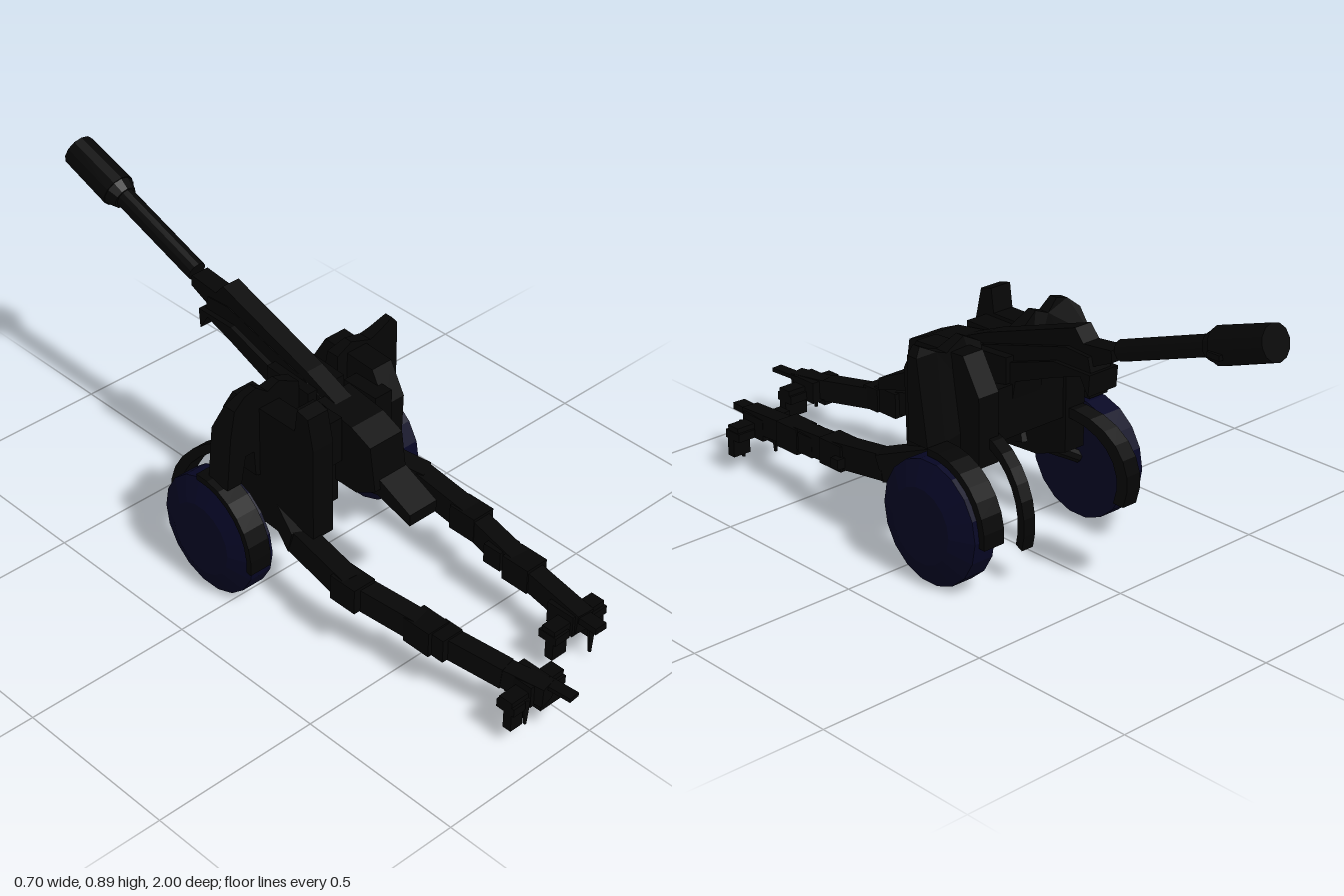
import * as THREE from 'three';

const V = (a) => new THREE.Vector3(...a);

export function createModel() {
  const model = new THREE.Group();
  const black = new THREE.MeshStandardMaterial({ color: 0x050505, flatShading: true });
  black.name = 'gunmetal black';
  const navy = new THREE.MeshStandardMaterial({ color: 0x060624, flatShading: true });
  navy.name = 'navy wheel';

  const add = (name, geo, mat = black) => {
    const mesh = new THREE.Mesh(geo, mat);
    mesh.name = name;
    model.add(mesh);
    return mesh;
  };
  // box given by its limits on each axis
  const box = (name, x0, x1, y0, y1, z0, z1) =>
    add(name, new THREE.BoxGeometry(x1 - x0, y1 - y0, z1 - z0)
      .translate((x0 + x1) / 2, (y0 + y1) / 2, (z0 + z1) / 2));
  const shapeOf = (pts) => new THREE.Shape(pts.map(([a, b]) => new THREE.Vector2(a, b)));
  // side profile in (z, y), extruded between two x values
  const sidePrism = (name, pts, x0, x1) =>
    add(name, new THREE.ExtrudeGeometry(shapeOf(pts), { depth: x1 - x0, bevelEnabled: false })
      .rotateY(-Math.PI / 2).translate(x1, 0, 0));
  const beam = (name, a, b, w, h) => {
    const p = V(a), q = V(b);
    const m = add(name, new THREE.BoxGeometry(w, h, p.distanceTo(q) + 0.02));
    m.position.copy(p).lerp(q, 0.5);
    m.lookAt(q);
    return m;
  };
  const rod = (name, a, b, r0, r1, sides = 12) => {
    const p = V(a), q = V(b);
    const m = add(name, new THREE.CylinderGeometry(r1, r0, p.distanceTo(q), sides));
    m.position.copy(p).lerp(q, 0.5);
    m.quaternion.setFromUnitVectors(new THREE.Vector3(0, 1, 0), q.sub(p).normalize());
    return m;
  };

  // wheels with bevelled outer faces
  for (const [s, z] of [[-1, -0.09], [1, -0.115]]) {
    const profile = [[0, 0.25], [0.176, 0.25], [0.176, 0.32], [0.108, 0.35], [0, 0.35]]
      .map(([r, y]) => new THREE.Vector2(r, y));
    add(s < 0 ? 'rightWheel' : 'leftWheel',
      new THREE.LatheGeometry(profile, 18).rotateZ(-s * Math.PI / 2).translate(0, 0.176, z), navy);
    rod('axleStub', [s * 0.255, 0.176, z], [s * 0.16, 0.23, -0.04], 0.018, 0.022, 8);
  }

  // barrel and muzzle brake
  rod('barrel', [0, 0.681, -0.488], [0, 0.8, -0.83], 0.029, 0.029);
  rod('muzzleBrakeCollar', [0, 0.782, -0.785], [0, 0.792, -0.815], 0.036, 0.048);
  rod('muzzleBrake', [0, 0.792, -0.815], [0, 0.85, -0.984], 0.051, 0.049);
  box('muzzleTab', 0.04, 0.058, 0.78, 0.795, -0.86, -0.82);

  // cradle: wide trough, sloping shoulder and narrow ridge
  sidePrism('cradleTrough', [[0.1, 0.4], [0.1, 0.48], [-0.02, 0.52], [-0.3, 0.61], [-0.43, 0.61],
    [-0.425, 0.55], [-0.395, 0.598], [-0.3, 0.565], [-0.16, 0.51], [-0.14, 0.4]], -0.046, 0.056);
  sidePrism('cradleShoulder', [[0.1, 0.46], [0.1, 0.52], [-0.02, 0.57], [-0.33, 0.655], [-0.41, 0.65],
    [-0.42, 0.61], [-0.3, 0.575]], -0.03, 0.043);
  sidePrism('cradleRidge', [[0.1, 0.5], [0.1, 0.55], [-0.02, 0.6], [-0.35, 0.71], [-0.38, 0.675],
    [-0.478, 0.685], [-0.48, 0.652], [-0.42, 0.625], [-0.3, 0.6]], -0.027, 0.03);
  sidePrism('recoilHousing', [[0.02, 0.47], [0.02, 0.565], [-0.14, 0.575], [-0.14, 0.5]], -0.06, 0.07);

  // breech
  sidePrism('breech', [[0.27, 0.38], [0.25, 0.51], [0.18, 0.54], [0.05, 0.56], [0.05, 0.34], [0.2, 0.34]],
    -0.055, 0.06);
  sidePrism('breechTray', [[0.38, 0.32], [0.38, 0.355], [0.26, 0.41], [0.16, 0.42], [0.16, 0.33], [0.26, 0.355]],
    -0.035, 0.062);

  // carriage
  sidePrism('saddle', [[0.1, 0.34], [0.1, 0.46], [-0.15, 0.5], [-0.15, 0.35]], -0.15, 0.15);
  sidePrism('rightCheek', [[0.19, 0.25], [0.19, 0.54], [0.17, 0.63], [0.13, 0.64], [0.12, 0.57],
    [-0.12, 0.57], [-0.16, 0.5], [-0.16, 0.25], [-0.05, 0.21], [0.1, 0.2]], -0.2, -0.13);
  sidePrism('leftCheek', [[0.12, 0.2], [0.13, 0.5], [0.08, 0.59], [-0.1, 0.6], [-0.16, 0.5],
    [-0.16, 0.3], [-0.05, 0.24]], 0.115, 0.185);
  box('elevationGear', -0.1, -0.045, 0.27, 0.42, 0.02, 0.12);
  box('traverseBox', 0.07, 0.13, 0.33, 0.55, 0.02, 0.14);
  box('sightBox', -0.13, -0.06, 0.42, 0.56, 0.04, 0.15);

  // shields over the axle: front profile in (x, y), back face sloping to a thin top edge
  const shield = (name, pts, z0, z1) => {
    const geo = new THREE.ExtrudeGeometry(shapeOf(pts), { depth: z1 - z0, bevelEnabled: false });
    const p = geo.attributes.position;
    for (let i = 0; i < p.count; i++)
      if (p.getZ(i) < 0.001) p.setZ(i, THREE.MathUtils.clamp((p.getY(i) - 0.53) * 0.5, 0, 0.05));
    geo.computeVertexNormals();
    return add(name, geo.translate(0, 0, z0));
  };
  shield('rightShield', [[-0.06, 0.42], [-0.06, 0.59], [-0.13, 0.625], [-0.17, 0.61], [-0.21, 0.64],
    [-0.25, 0.63], [-0.285, 0.6], [-0.3, 0.52], [-0.315, 0.36], [-0.265, 0.36], [-0.25, 0.44],
    [-0.22, 0.44], [-0.215, 0.36], [-0.12, 0.33]], -0.09, -0.015);
  shield('leftShield', [[0.08, 0.4], [0.11, 0.33], [0.22, 0.33], [0.24, 0.37], [0.3, 0.37], [0.3, 0.61],
    [0.28, 0.635], [0.23, 0.61], [0.2, 0.6], [0.13, 0.625], [0.08, 0.6]], -0.09, -0.015);

  // mudguards: curved straps about the wheel centre, angles measured from +z
  const strap = (name, x0, x1, zc, a0, a1, r, t) => {
    const outer = [], inner = [];
    for (let i = 0; i <= 8; i++) {
      const a = THREE.MathUtils.degToRad(a0 + (a1 - a0) * i / 8);
      outer.push([zc + r * Math.cos(a), 0.176 + r * Math.sin(a)]);
      inner.unshift([zc + (r - t) * Math.cos(a), 0.176 + (r - t) * Math.sin(a)]);
    }
    return sidePrism(name, [...outer, ...inner], x0, x1);
  };
  strap('rightMudguard', -0.335, -0.265, -0.1, -8, 95, 0.195, 0.018);
  strap('leftMudguard', 0.235, 0.305, -0.11, 85, 185, 0.2, 0.02);

  // rear flaps, splayed sideways as they run back and down
  const flap = (name, x0, x1, slope) => {
    const m = strap(name, x0, x1, -0.11, 95, 198, 0.207, 0.028);
    const p = m.geometry.attributes.position;
    for (let i = 0; i < p.count; i++) p.setX(i, p.getX(i) + slope * (p.getZ(i) + 0.14));
    m.geometry.computeVertexNormals();
  };
  flap('rightFlap', -0.185, -0.135, 0.42);
  flap('leftFlap', 0.105, 0.145, -0.15);

  // split trails, tapering to the spades
  const trails = {
    right: [[-0.15, 0.27, 0], [-0.195, 0.225, 0.13], [-0.215, 0.2, 0.34], [-0.165, 0.165, 0.56],
      [-0.115, 0.14, 0.8], [-0.09, 0.135, 0.92]],
    left: [[0.15, 0.27, 0], [0.225, 0.22, 0.16], [0.225, 0.195, 0.34], [0.2, 0.165, 0.56],
      [0.18, 0.14, 0.8]],
  };
  for (const [side, pts] of Object.entries(trails)) {
    for (let i = 0; i < pts.length - 1; i++)
      beam(side + 'Trail', pts[i], pts[i + 1], 0.062 - i * 0.003, 0.08 - i * 0.005);
    // clamps along the trail
    for (const i of [2, 3]) {
      const [x, y, z] = pts[i];
      box(side + 'TrailClamp', x - 0.037, x + 0.037, y - 0.04, y + 0.036, z - 0.03, z + 0.06);
    }
  }
  box('rightTrailLock', -0.19, -0.12, 0.125, 0.195, 0.6, 0.66);
  box('leftTrailLock', 0.165, 0.24, 0.14, 0.2, 0.46, 0.52);
  box('trailHandle', 0.22, 0.28, 0.17, 0.2, 0.3, 0.33);

  // spades: crossbar, two pads and ground spikes
  const spade = (name, x, z, pads, spikes) => {
    box(name + 'Crossbar', x - 0.095, x + 0.095, 0.115, 0.145, z - 0.022, z + 0.022);
    box(name + 'Bracket', x - 0.035, x + 0.035, 0.1, 0.165, z - 0.06, z + 0.03);
    for (const [x0, x1] of pads) {
      box(name + 'Pad', x0, x1, 0.052, 0.13, z - 0.005, z + 0.022);
      box(name + 'PadTop', x0, x1, 0.105, 0.13, z - 0.03, z + 0.03);
    }
    for (const [sx, sz, y] of spikes)
      rod(name + 'Spike', [sx, 0.13, sz], [sx, y, sz], 0.014, 0.005, 5);
  };
  spade('rightSpade', -0.095, 0.88, [[-0.19, -0.148], [-0.08, 0]], [[-0.135, 0.9, 0.045]]);
  spade('leftSpade', 0.18, 0.77, [[0.082, 0.135], [0.22, 0.278]], [[0.14, 0.75, 0.035], [0.21, 0.81, 0.02]]);
  beam('rightTowBar', [-0.08, 0.157, 0.86], [-0.07, 0.157, 0.99], 0.035, 0.012);
  beam('leftTowBar', [0.178, 0.155, 0.76], [0.175, 0.155, 0.86], 0.04, 0.02);

  return model;
}
